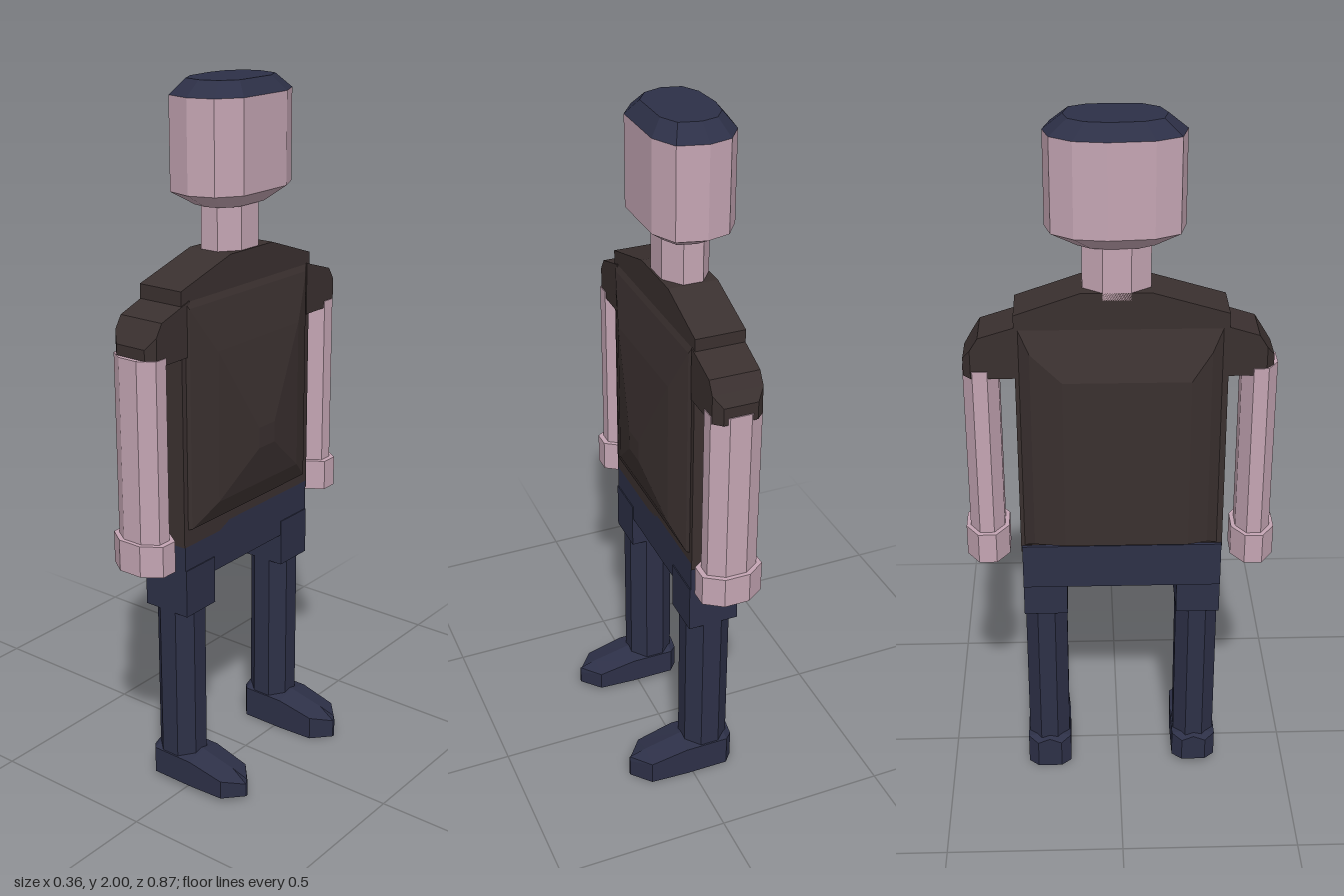
import * as THREE from 'three';

const mat = (name, color) => {
  const m = new THREE.MeshStandardMaterial({ color, flatShading: true });
  m.name = name;
  return m;
};

// Joins rings of [x, y, z] points into a closed solid, capped at both ends
function loft(rings) {
  const n = rings[0].length, tris = [];
  const mid = r => [0, 1, 2].map(k => r.reduce((s, p) => s + p[k], 0) / n);
  for (let i = 0; i < rings.length - 1; i++) {
    const a = rings[i], b = rings[i + 1];
    for (let j = 0; j < n; j++) {
      const k = (j + 1) % n;
      tris.push([a[j], a[k], b[k]], [a[j], b[k], b[j]]);
    }
  }
  const first = rings[0], last = rings[rings.length - 1];
  const c0 = mid(first), c1 = mid(last);
  for (let j = 0; j < n; j++) {
    const k = (j + 1) % n;
    tris.push([c0, first[k], first[j]], [c1, last[j], last[k]]);
  }
  // turn the faces outward if the solid is inside out
  let volume = 0;
  for (const [a, b, c] of tris) {
    volume += new THREE.Vector3(...a).dot(new THREE.Vector3(...b).cross(new THREE.Vector3(...c)));
  }
  if (volume < 0) tris.forEach(t => t.reverse());
  const g = new THREE.BufferGeometry();
  g.setAttribute('position', new THREE.Float32BufferAttribute(tris.flat(2), 3));
  g.computeVertexNormals();
  return g;
}

// Upright eight-sided prism between two heights, given its x and z extents
function prism(x0, x1, y0, y1, z0, z1) {
  const r = 0.5 / Math.cos(Math.PI / 8);
  return new THREE.CylinderGeometry(r, r, 1, 8, 1, false, Math.PI / 8)
    .scale(x1 - x0, y1 - y0, z1 - z0)
    .translate((x0 + x1) / 2, (y0 + y1) / 2, (z0 + z1) / 2);
}

function box(x0, x1, y0, y1, z0, z1) {
  return new THREE.BoxGeometry(x1 - x0, y1 - y0, z1 - z0)
    .translate((x0 + x1) / 2, (y0 + y1) / 2, (z0 + z1) / 2);
}

// Rectangle standing across x
const panel = (x, y0, y1, z0, z1) => [[x, y0, z0], [x, y1, z0], [x, y1, z1], [x, y0, z1]];

export function createModel() {
  const model = new THREE.Group();
  const skin = mat('skin', 0xc4a5b3);
  const shirt = mat('shirt', 0x3a302f);
  const navy = mat('navy', 0x2d3047);
  const add = (name, geometry, material) => {
    const mesh = new THREE.Mesh(geometry, material);
    mesh.name = name;
    model.add(mesh);
  };

  // Head, cap and neck
  const outline = [[-0.055, -0.19], [0.025, -0.17], [0.06, -0.1], [0.06, 0.085], [0.015, 0.15],
    [-0.055, 0.175], [-0.13, 0.157], [-0.165, 0.09], [-0.175, -0.03], [-0.162, -0.115], [-0.12, -0.173]];
  const headRing = (y, s) => outline.map(([x, z]) => [-0.057 + (x + 0.057) * s, y, -0.005 + (z + 0.005) * s]);
  add('head', loft([headRing(1.67, 0.6), headRing(1.71, 1), headRing(1.96, 1)]), skin);
  add('cap', loft([headRing(1.96, 1), headRing(2, 0.72)]), navy);
  add('neck', prism(-0.125, 0.01, 1.53, 1.68, -0.095, 0.085), skin);

  // Torso core with sloping shoulders
  const side = [[-0.275, 0.77], [-0.275, 1.49], [-0.1, 1.55], [0.085, 1.55], [0.29, 1.49], [0.29, 0.77]];
  add('torso', loft([-0.125, 0.015].map(x => side.map(([z, y]) => [x, y, z]))), shirt);
  // Chest bulge and back panel
  add('chest', loft([
    panel(0.01, 0.82, 1.47, -0.265, 0.28),
    panel(0.022, 0.82, 1.44, -0.25, 0.265),
    panel(0.048, 0.88, 1.31, -0.18, 0.18),
    panel(0.075, 1.0, 1.06, -0.035, 0.035),
  ]), shirt);
  add('back', loft([
    panel(-0.12, 0.79, 1.46, -0.27, 0.28),
    panel(-0.15, 0.81, 1.39, -0.235, 0.245),
    panel(-0.18, 0.82, 1.32, -0.15, 0.19),
  ]), shirt);

  // Hips
  add('hips', box(-0.135, 0.015, 0.655, 0.79, -0.272, 0.288), navy);

  for (const s of [1, -1]) {
    const label = s > 0 ? 'near' : 'far';
    const lift = s > 0 ? 0 : 0.015;

    // Sleeve, tapering outwards
    const sleeveRing = (x0, x1, top, z) =>
      [[x0, 1.31, s * z], [x0, top, s * z], [x1, top, s * z], [x1, 1.31, s * z]];
    add(label + 'Sleeve', loft([
      sleeveRing(-0.125, 0.018, 1.46, 0.26),
      sleeveRing(-0.122, 0.018, 1.425, 0.37),
      sleeveRing(-0.122, 0.018, 1.39, 0.392),
      sleeveRing(-0.1, -0.005, 1.36, 0.413),
    ]), shirt);

    // Arm and hand
    const armZ = s > 0 ? 0.378 : -0.368;
    add(label + 'Arm', prism(-0.125, 0.02, 0.8 + lift, 1.33, armZ - 0.048, armZ + 0.048), skin);
    add(label + 'Hand', prism(-0.14, 0.035, 0.73 + lift, 0.82 + lift, armZ - 0.06, armZ + 0.06), skin);

    // Leg
    const z = s > 0 ? 0.226 : -0.21;
    const ground = s > 0 ? 0.015 : 0;
    add(label + 'Thigh', box(-0.13, 0.018, 0.56, 0.7, z - 0.062, z + 0.062), navy);
    add(label + 'Leg', prism(-0.122, 0.012, 0.06, 0.58, z - 0.06, z + 0.06), navy);

    // Foot, pointed at the toe with a ridge along the top
    const footRing = ([x, half, top]) => [
      [x, ground, z - half], [x, top - 0.015, z - half], [x, top, z],
      [x, top - 0.015, z + half], [x, ground, z + half]];
    add(label + 'Foot', loft([
      [-0.135, 0.035, 0.1], [-0.11, 0.064, 0.11], [0.02, 0.064, 0.11],
      [0.13, 0.058, 0.085], [0.18, 0.004, 0.07],
    ].map(footRing)), navy);
  }
  return model;
}
